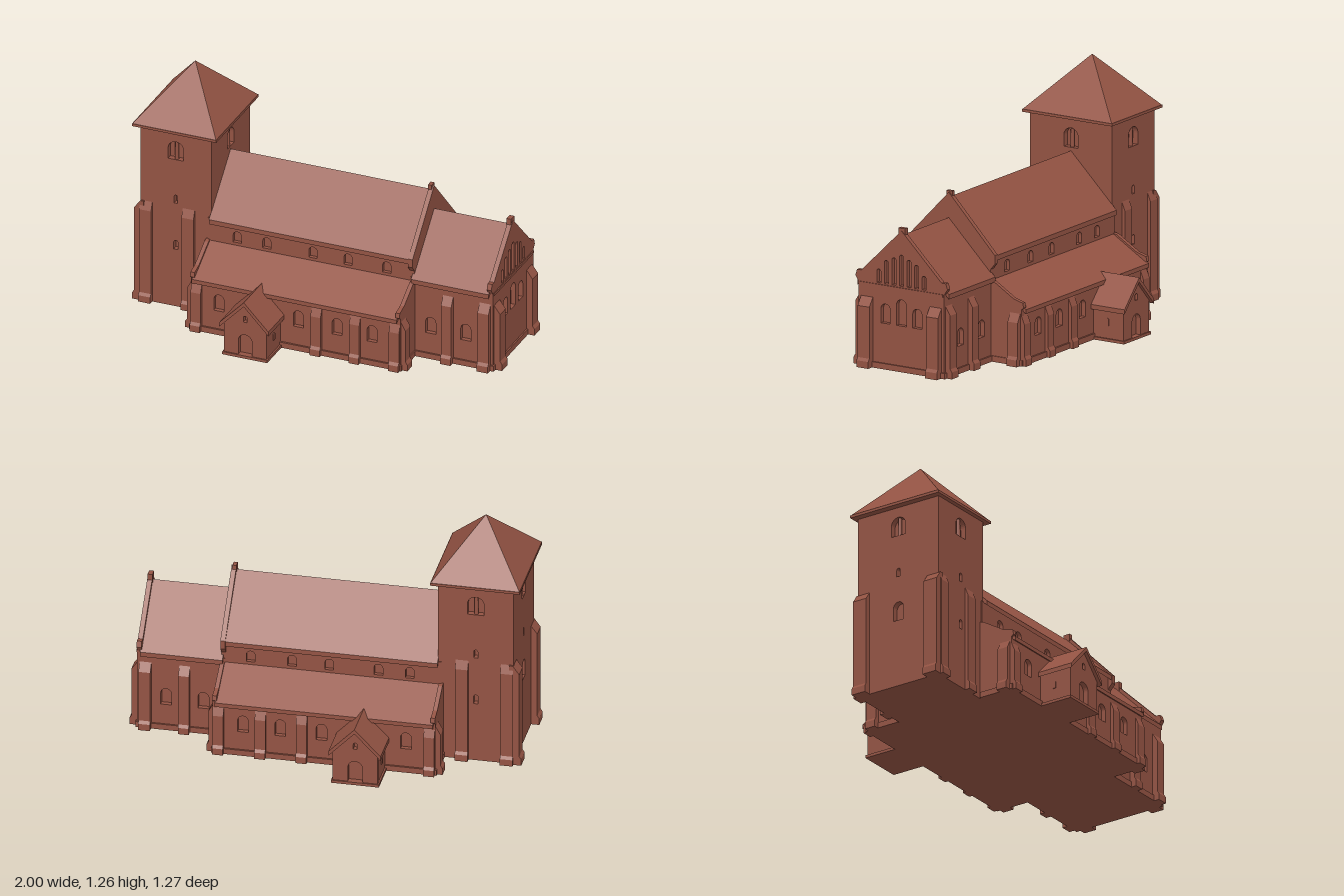
import * as THREE from 'three';

const brick = new THREE.MeshStandardMaterial({ color: 0x935343 });
brick.name = 'brick red';

const toShape = (pts) => new THREE.Shape(pts.map(([x, y]) => new THREE.Vector2(x, y)));
const extrude = (shape, depth) =>
  new THREE.ExtrudeGeometry(shape, { depth, bevelEnabled: false, curveSegments: 8 });

function add(parent, name, geometry) {
  const mesh = new THREE.Mesh(geometry, brick);
  mesh.name = name;
  parent.add(mesh);
  return mesh;
}

function box(parent, name, x0, x1, y0, y1, z0, z1) {
  const g = new THREE.BoxGeometry(x1 - x0, y1 - y0, z1 - z0);
  return add(parent, name, g.translate((x0 + x1) / 2, (y0 + y1) / 2, (z0 + z1) / 2));
}

// Solid with a [z, y] section, running from x0 to x1
function prismX(parent, name, pts, x0, x1) {
  const g = extrude(toShape(pts.map(([z, y]) => [-z, y])), x1 - x0);
  return add(parent, name, g.rotateY(Math.PI / 2).translate(x0, 0, 0));
}

// Solid with an [x, y] section, running from z0 to z1
function prismZ(parent, name, pts, z0, z1) {
  return add(parent, name, extrude(toShape(pts), z1 - z0).translate(0, 0, z0));
}

// Section of a gabled roof shell
const chevron = (half, eave, ridge, t, c = 0) => [
  [c - half, eave], [c, ridge], [c + half, eave],
  [c + half, eave - t], [c, ridge - t], [c - half, eave - t]];

const rect = (a, b, y0, y1) => [[a, y0], [b, y0], [b, y1], [a, y1]];

// Round-headed opening: centre, sill, width, total height
function arch([u, y, w, h]) {
  const r = w / 2, p = new THREE.Path();
  p.moveTo(u - r, y);
  p.lineTo(u + r, y);
  p.lineTo(u + r, y + h - r);
  p.absarc(u, y + h - r, r, 0, Math.PI, false);
  p.lineTo(u - r, y);
  return p;
}

// Wall skin with real openings; its outer face lies at the given distance
const TURN = { front: 0, back: Math.PI, east: Math.PI / 2, west: -Math.PI / 2 };
function wall(parent, name, dir, dist, outline, holes = [], depth = 0.025) {
  const m = dir === 'back' ? -1 : 1;
  const shape = toShape(outline.map(([u, y]) => [u * m, y]));
  shape.holes = holes.map(([u, ...rest]) => arch([u * m, ...rest]));
  const g = extrude(shape, depth).translate(0, 0, dist - depth);
  return add(parent, name, g.rotateY(TURN[dir]));
}

// Buttress with a plinth and a sloping head
function buttress(parent, dir, x, z, w, d, h) {
  const pts = [[-0.02, 0], [d + 0.01, 0], [d + 0.01, 0.035], [d, 0.05],
    [d, h - 0.045], [0, h], [-0.02, h]];
  const g = extrude(toShape(pts), w).translate(0, 0, -w / 2);
  return add(parent, 'buttress', g.rotateY(TURN[dir] - Math.PI / 2).translate(x, 0, z));
}

function group(parent, name) {
  const g = new THREE.Group();
  g.name = name;
  parent.add(g);
  return g;
}

const SIDES = [['front', 1], ['back', -1]];

function buildTower(root) {
  const t = group(root, 'tower'), cx = -0.765;
  box(t, 'towerCore', -0.925, -0.605, 0, 0.99, -0.215, 0.215);
  for (const [dir, s] of SIDES) {
    wall(t, 'towerSideWall', dir, 0.245, rect(-0.957, -0.573, 0, 0.99),
      [[cx, 0.825, 0.085, 0.1], [cx, 0.58, 0.02, 0.045], [cx, 0.32, 0.024, 0.05]], 0.035);
    add(t, 'belfryColumn', new THREE.CylinderGeometry(0.009, 0.011, 0.1, 10)
      .translate(cx, 0.872, s * 0.23));
    for (const x of [-0.925, -0.695]) buttress(t, dir, x, s * 0.245, 0.065, 0.018, 0.56);
    buttress(t, 'west', -0.955, s * 0.215, 0.08, 0.033, 0.56);
  }
  wall(t, 'towerWestWall', 'west', 0.957, rect(-0.245, 0.245, 0, 0.99),
    [[0, 0.825, 0.085, 0.1], [0, 0.6, 0.02, 0.045], [0, 0.36, 0.06, 0.1]], 0.035);
  wall(t, 'towerEastWall', 'east', -0.573, rect(-0.245, 0.245, 0, 0.99),
    [[0, 0.825, 0.085, 0.1]], 0.035);
  for (const x of [-0.942, -0.588]) {
    add(t, 'belfryColumn', new THREE.CylinderGeometry(0.009, 0.011, 0.1, 10).translate(x, 0.872, 0));
  }
  // Pyramid roof on a thin eave
  box(t, 'towerEave', -0.993, -0.537, 0.978, 0.992, -0.268, 0.268);
  const roof = new THREE.ConeGeometry(Math.SQRT2, 0.275, 4, 1).rotateY(Math.PI / 4)
    .scale(0.228, 1, 0.268).translate(cx, 0.99 + 0.1375, 0).toNonIndexed();
  roof.computeVertexNormals();
  add(t, 'towerRoof', roof);
}

function buildNave(root) {
  const n = group(root, 'nave');
  prismX(n, 'naveCore', [[-0.23, 0], [0.23, 0], [0.23, 0.55], [0, 0.79], [-0.23, 0.55]], -0.59, 0.515);
  prismX(n, 'naveRoof', chevron(0.272, 0.54, 0.808, 0.025), -0.575, 0.515);
  prismX(n, 'naveGable', [[-0.25, 0.3], [0.25, 0.3], [0.25, 0.47], [0.275, 0.5],
    [0.275, 0.545], [0, 0.832], [-0.275, 0.545], [-0.275, 0.5], [-0.25, 0.47]], 0.505, 0.53);
  box(n, 'naveFinial', 0.503, 0.523, 0.8, 0.838, -0.018, 0.018);
  for (const [dir] of SIDES) {
    wall(n, 'clerestoryWall', dir, 0.25, rect(-0.59, 0.515, 0.38, 0.54),
      [-0.43, -0.27, -0.02, 0.17, 0.38].map((x) => [x, 0.43, 0.045, 0.06]));
  }
}

function buildAisle(root, dir, s) {
  const a = group(root, s > 0 ? 'frontAisle' : 'backAisle');
  const side = (pts) => pts.map(([z, y]) => [z * s, y]);
  prismX(a, 'aisleCore', side([[0.2, 0], [0.412, 0], [0.412, 0.28], [0.2, 0.41]]), -0.59, 0.52);
  prismX(a, 'aisleRoof', side([[0.24, 0.42], [0.455, 0.29], [0.455, 0.268], [0.24, 0.395]]), -0.59, 0.52);
  wall(a, 'aisleWall', dir, 0.435, rect(-0.6, 0.53, 0, 0.285),
    [-0.45, -0.02, 0.19, 0.38].map((x) => [x, 0.13, 0.055, 0.09]));
  for (const x of [-0.6, 0.512]) {
    prismX(a, 'aisleEndWall', side([[0.2, 0], [0.437, 0], [0.437, 0.29], [0.45, 0.3],
      [0.445, 0.325], [0.39, 0.34], [0.27, 0.413], [0.2, 0.43]]), x, x + 0.022);
  }
  for (const x of [-0.57, 0.08, 0.29, 0.505]) buttress(a, dir, x, s * 0.435, 0.055, 0.018, 0.26);
  buttress(a, 'west', -0.6, s * 0.4, 0.06, 0.025, 0.27);
  buttress(a, 'east', 0.533, s * 0.4, 0.06, 0.025, 0.27);
  box(a, 'aislePlinth', -0.607, 0.54, 0, 0.03, Math.min(s * 0.25, s * 0.445), Math.max(s * 0.25, s * 0.445));
}

function buildPorch(root, dir, s) {
  const p = group(root, s > 0 ? 'frontPorch' : 'backPorch'), c = -0.23;
  const span = (a, b) => (s > 0 ? [a, b] : [-b, -a]);
  const gable = (h) => [[c - h, 0], [c + h, 0], [c + h, 0.19], [c, 0.3], [c - h, 0.19]];
  prismZ(p, 'porchCore', gable(0.113), ...span(0.4, 0.59));
  prismZ(p, 'porchRoof', chevron(0.133, 0.182, 0.32, 0.024, c), ...span(0.4, 0.635));
  wall(p, 'porchFrontWall', dir, 0.617, gable(0.115),
    [[c, 0.015, 0.075, 0.115], [c, 0.2, 0.02, 0.035]], 0.03);
  // Slit windows in the porch sides
  for (const k of [-1, 1]) {
    const x = c + k * 0.117;
    add(p, 'porchSlit', extrude(new THREE.Shape(arch([0, 0.08, 0.018, 0.04]).getPoints(6)), 0.006)
      .rotateY(k * Math.PI / 2).translate(x - k * 0.005, 0, s * 0.52));
  }
  box(p, 'porchPlinth', c - 0.122, c + 0.122, 0, 0.015, ...span(0.4, 0.624));
}

function buildChancel(root) {
  const c = group(root, 'chancel');
  prismX(c, 'chancelCore', [[-0.23, 0], [0.23, 0], [0.23, 0.44], [0, 0.68], [-0.23, 0.44]], 0.5, 0.93);
  prismX(c, 'chancelRoof', chevron(0.272, 0.432, 0.702, 0.025), 0.52, 0.94);
  // East gable wall with three windows and stepped blind lancets
  const lancets = [[0, 0.16], [0.045, 0.14], [0.09, 0.12], [0.135, 0.07]]
    .flatMap(([u, h]) => (u ? [[u, 0.44, 0.024, h], [-u, 0.44, 0.024, h]] : [[u, 0.44, 0.024, h]]));
  wall(c, 'chancelEastWall', 'east', 0.957, [[-0.255, 0], [0.255, 0], [0.255, 0.43], [0.275, 0.46],
    [0.265, 0.49], [0.24, 0.49], [0, 0.725], [-0.24, 0.49], [-0.265, 0.49], [-0.275, 0.46], [-0.255, 0.43]],
  [[0, 0.235, 0.06, 0.135], [-0.095, 0.235, 0.055, 0.1], [0.095, 0.235, 0.055, 0.1], ...lancets]);
  box(c, 'chancelFinial', 0.93, 0.955, 0.69, 0.738, -0.02, 0.02);
  box(c, 'chancelString', 0.95, 0.962, 0.418, 0.432, -0.25, 0.25);
  box(c, 'chancelPlinth', 0.53, 0.965, 0, 0.03, -0.264, 0.264);
  for (const [dir, s] of SIDES) {
    wall(c, 'chancelSideWall', dir, 0.255, rect(0.51, 0.957, 0, 0.435),
      [[0.62, 0.14, 0.055, 0.09], [0.81, 0.14, 0.055, 0.09]]);
    buttress(c, dir, 0.715, s * 0.255, 0.055, 0.028, 0.37);
    buttress(c, dir, 0.915, s * 0.255, 0.06, 0.028, 0.37);
    buttress(c, 'east', 0.957, s * 0.205, 0.07, 0.033, 0.36);
  }
}

export function createModel() {
  const root = new THREE.Group();
  root.name = 'church';
  buildTower(root);
  buildNave(root);
  for (const [dir, s] of SIDES) {
    buildAisle(root, dir, s);
    buildPorch(root, dir, s);
  }
  buildChancel(root);
  return root;
}
